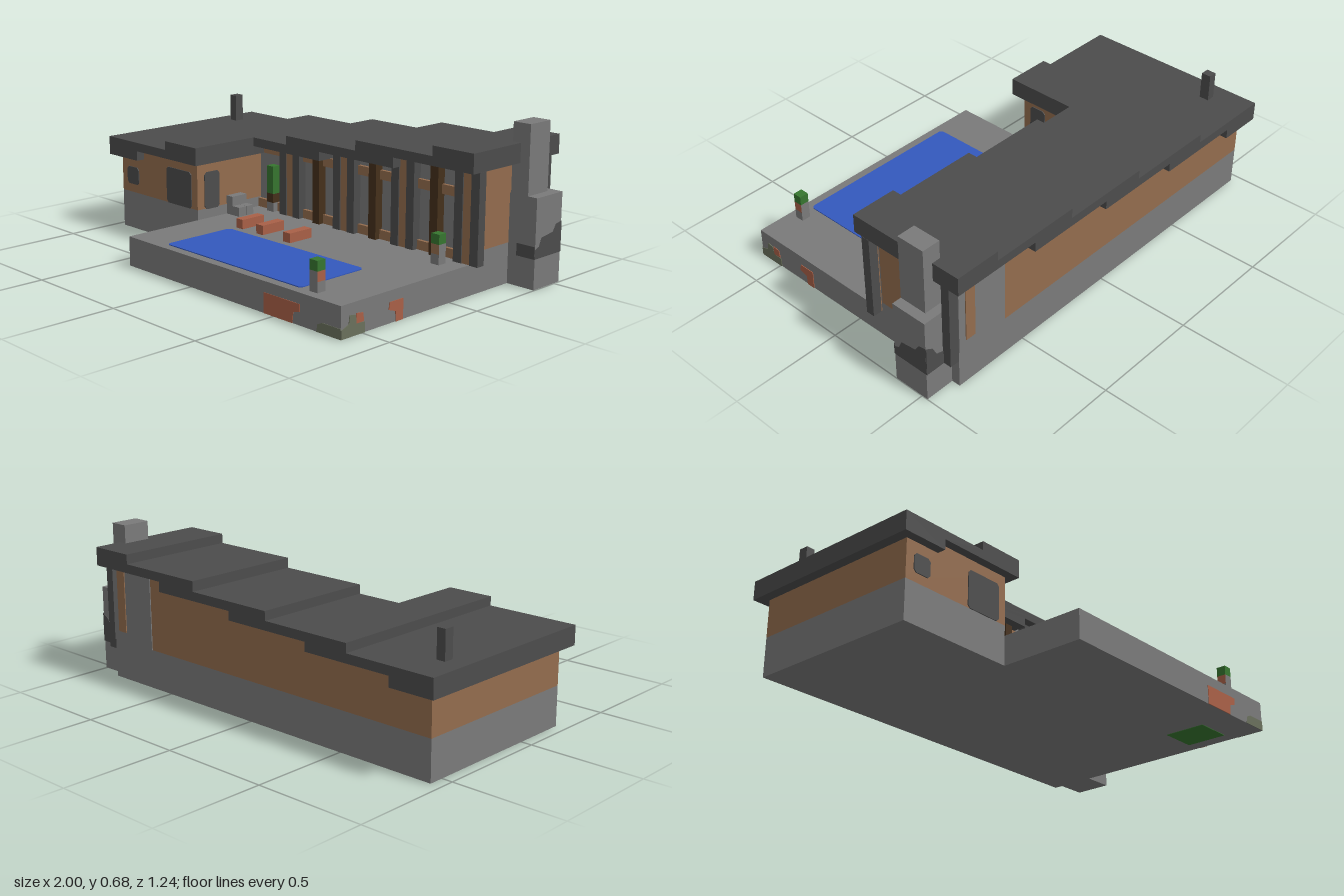
import * as THREE from 'three';

const mat = (name, color) => {
  const m = new THREE.MeshStandardMaterial({ color });
  m.name = name;
  return m;
};

export function createModel() {
  const root = new THREE.Group();
  root.name = 'poolHouse';
  const stone = mat('stone', 0x7a7a7a), slate = mat('slate', 0x4c4c4c), wood = mat('wood', 0x936c4e),
    darkWood = mat('darkWood', 0x45301b), water = mat('water', 0x3358bd), leaf = mat('leaf', 0x36752f),
    clay = mat('clay', 0xa96047), moss = mat('moss', 0x6a705c);

  const add = (name, geo, m) => {
    const mesh = new THREE.Mesh(geo, m);
    mesh.name = name;
    root.add(mesh);
    return mesh;
  };
  // Box given by its extents on each axis
  const box = (name, m, x0, x1, y0, y1, z0, z1) => {
    const mesh = add(name, new THREE.BoxGeometry(x1 - x0, y1 - y0, z1 - z0), m);
    mesh.position.set((x0 + x1) / 2, (y0 + y1) / 2, (z0 + z1) / 2);
    return mesh;
  };
  const shapeOf = pts => new THREE.Shape(pts.map(p => new THREE.Vector2(p[0], p[1])));
  const extrude = (name, m, pts, z0, z1) => {
    const mesh = add(name, new THREE.ExtrudeGeometry(shapeOf(pts), { depth: z1 - z0, bevelEnabled: false }), m);
    mesh.position.z = z0;
    return mesh;
  };
  // Thin painted plate facing +x, outlined in (z, y)
  const sidePlate = (name, m, x, pts) => {
    const mesh = extrude(name, m, pts.map(([z, y]) => [-z, y]), 0, 0.004);
    mesh.rotation.y = Math.PI / 2;
    mesh.position.set(x, 0, 0);
  };

  // Stepped line rising to the right between x0 and x1
  const stair = (x0, x1, edges, ys) => {
    const pts = [];
    ys.forEach((y, i) => {
      const a = Math.max(x0, i ? edges[i - 1] : -9), b = Math.min(x1, i < edges.length ? edges[i] : 9);
      if (b > a) pts.push([a, y], [b, y]);
    });
    return pts;
  };
  const top = (a, b) => stair(a, b, [-0.58, -0.15, 0.275, 0.7], [0.43, 0.47, 0.51, 0.555, 0.598]);
  const under = (a, b) => stair(a, b, [-0.79, -0.365, 0.06, 0.49], [0.345, 0.39, 0.43, 0.47, 0.515]);
  const roof = (a, b) => [...top(a, b), ...under(a, b).reverse()];
  const wall = (a, b, lo) => [...under(a, b), [b, lo], [a, lo]];

  // Roof
  extrude('mainRoof', slate, roof(-1, 0.91), -0.62, -0.065);
  extrude('wingRoof', slate, roof(-1, -0.365), -0.065, 0.275);
  box('roofVent', slate, -0.915, -0.875, 0.42, 0.555, -0.45, -0.405);

  // Foundations and terrace
  box('wingBase', stone, -0.955, -0.405, 0, 0.175, -0.57, 0.235);
  box('hallBase', stone, -0.405, 0.865, 0, 0.175, -0.57, -0.15);
  box('terrace', stone, -0.405, 0.865, 0, 0.13, -0.15, 0.615);

  // Walls
  extrude('wingWall', wood, wall(-0.955, -0.405, 0.175), -0.57, 0.235);
  extrude('hallWall', wood, wall(-0.405, 0.865, 0.175), -0.57, -0.15);
  extrude('hallFrontPanel', stone, wall(-0.405, 0.865, 0.13), -0.15, -0.145);
  extrude('backPanel', stone, wall(0.61, 0.865, 0.175), -0.574, -0.57);
  box('backStrip', wood, 0.78, 0.83, 0.22, 0.515, -0.578, -0.574);
  box('sillBeam', wood, -0.405, 0.865, 0.13, 0.17, -0.145, -0.13);
  box('upperBeam', wood, -0.405, 0.865, 0.39, 0.43, -0.145, -0.13);

  // Colonnade: triple piers alternating with single dark posts
  const roofAt = x => { const p = under(-1, x); return p[p.length - 1][1]; };
  for (const c of [-0.172, 0.168, 0.508, 0.848]) {
    for (const s of [-1, 1]) {
      const x = c + s * 0.042;
      box('pierPost', slate, x - 0.021, x + 0.021, 0.13, roofAt(x), -0.145, -0.105);
    }
    box('pierCore', wood, c - 0.021, c + 0.021, 0.13, roofAt(c), -0.145, -0.11);
  }
  for (const c of [-0.002, 0.338, 0.678])
    box('darkPost', darkWood, c - 0.021, c + 0.021, 0.13, roofAt(c), -0.145, -0.105);
  box('backCornerPost', slate, 0.865, 0.91, 0.13, 0.515, -0.57, -0.53);

  // Windows
  const windowPts = (a, b, lo, hi) => {
    const r = 0.012;
    return [[a + r, lo], [b - r, lo], [b, lo + r], [b, hi - r], [b - r, hi], [a + r, hi], [a, hi - r], [a, lo + r]];
  };
  extrude('smallWindow', slate, windowPts(-0.915, -0.83, 0.215, 0.297), 0.235, 0.239);
  extrude('largeWindow', slate, windowPts(-0.62, -0.445, 0.175, 0.342), 0.235, 0.239);
  sidePlate('sideWindow', slate, -0.405, windowPts(0.11, 0.195, 0.172, 0.342));

  // Chimney with soot patches
  box('chimneyBase', stone, 0.865, 1, 0, 0.385, -0.53, -0.36);
  box('chimneyStack', stone, 0.87, 0.955, 0.385, 0.68, -0.49, -0.36);
  sidePlate('chimneyPatch', slate, 0.996 + 0.001,
    [[-0.36, 0.13], [-0.36, 0.17], [-0.385, 0.18], [-0.4, 0.215], [-0.475, 0.225], [-0.495, 0.255], [-0.53, 0.262], [-0.53, 0.13]]);
  box('chimneyFrontPatch', slate, 0.91, 1, 0.13, 0.183, -0.36, -0.356);
  extrude('chimneyBackPatch', slate, [[0.91, 0.13], [1, 0.13], [1, 0.26], [0.965, 0.24], [0.945, 0.2], [0.91, 0.19]], -0.534, -0.53);

  // Pool
  const pool = extrude('pool', water, windowPts(-0.195, 0.612, -0.575, -0.23), 0, 0.004);
  pool.rotation.x = -Math.PI / 2;
  pool.position.y = 0.13;

  // Loungers
  for (const x of [-0.175, -0.045, 0.125])
    box('lounger', clay, x - 0.021, x + 0.021, 0.13, 0.172, 0.065, 0.19);

  // Stone seat beside the wing
  box('seatBack', stone, -0.405, -0.365, 0.13, 0.215, -0.02, 0.065);
  box('seatBlock', stone, -0.365, -0.32, 0.13, 0.172, -0.02, 0.022);
  box('seatBlock', stone, -0.365, -0.32, 0.13, 0.172, 0.023, 0.065);

  // Potted plants
  const planter = (x, z, side, front) => {
    box('planterFoot', stone, x - 0.021, x + 0.021, 0.13, 0.173, z - 0.021, z + 0.021);
    box('planterPot', [side, side, stone, stone, front, front], x - 0.021, x + 0.021, 0.173, 0.214, z - 0.021, z + 0.021);
    box('planterLeaves', leaf, x - 0.021, x + 0.021, 0.214, 0.256, z - 0.021, z + 0.021);
  };
  planter(0.68, 0.553, clay, stone);
  planter(0.762, -0.042, stone, wood);
  box('porchPlantPot', darkWood, -0.32, -0.278, 0.172, 0.214, -0.145, -0.105);
  box('porchPlantFoot', stone, -0.32, -0.278, 0.13, 0.172, -0.145, -0.105);
  box('porchPlantLeaves', leaf, -0.32, -0.278, 0.214, 0.342, -0.145, -0.105);

  // Clay and moss patches on the terrace edge
  extrude('frontClayPatch', clay,
    [[0.45, 0], [0.61, 0], [0.615, 0.045], [0.65, 0.055], [0.65, 0.085], [0.45, 0.085]], 0.614, 0.617);
  extrude('frontMossPatch', moss, [[0.74, 0], [0.865, 0], [0.865, 0.042], [0.77, 0.042], [0.745, 0.03]], 0.614, 0.617);
  sidePlate('sideClayPatch', clay, 0.864,
    [[0.28, 0], [0.32, 0], [0.322, 0.042], [0.36, 0.055], [0.355, 0.085], [0.28, 0.085]]);
  sidePlate('sideClayPatch', clay, 0.864, [[0.495, 0.045], [0.535, 0.045], [0.535, 0.085], [0.5, 0.08]]);
  sidePlate('sideMossPatch', moss, 0.864,
    [[0.49, 0], [0.615, 0], [0.615, 0.035], [0.575, 0.05], [0.57, 0.085], [0.54, 0.08], [0.532, 0.045], [0.49, 0.042]]);
  box('undersidePatch', leaf, 0.63, 0.8, -0.002, 0.002, 0.27, 0.46);
  return root;
}
